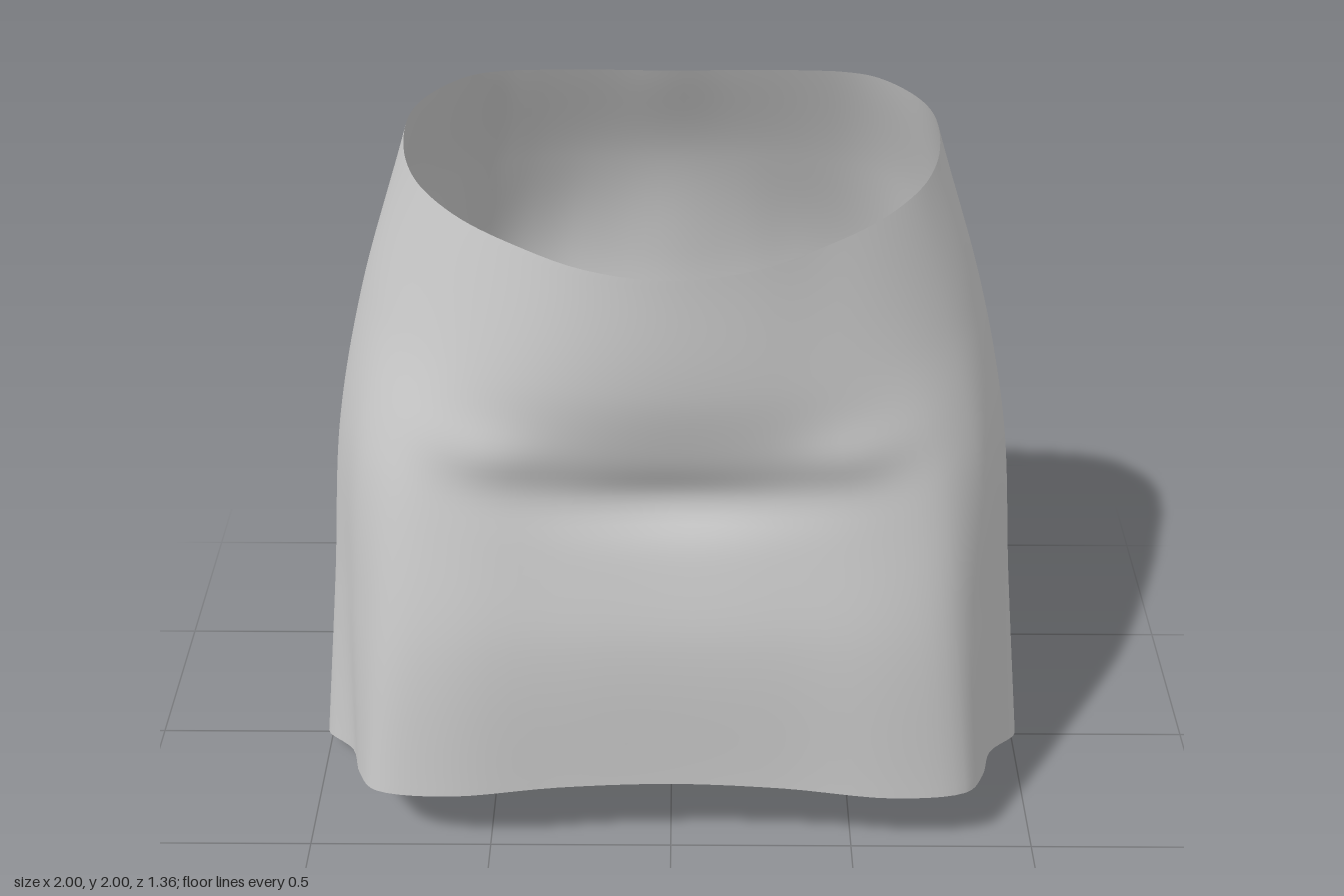
import * as THREE from 'three';

// Half outlines from front centre, round the left side, to back centre: [x, z] pairs.
const rim = [[0, .68], [.2, .645], [.38, .545], [.5, .45], [.59, .34], [.64, .23], [.67, .1], [.67, -.01],
  [.645, -.085], [.59, -.15], [.52, -.2], [.44, -.23], [.35, -.25], [.25, -.265], [.13, -.275], [0, -.27]];
const hip = [[0, .655], [.22, .635], [.42, .57], [.575, .475], [.69, .35], [.76, .22], [.8, .07], [.79, -.05],
  [.755, -.155], [.69, -.235], [.61, -.31], [.51, -.37], [.41, -.405], [.3, -.425], [.17, -.435], [0, -.435]];
const thigh = [[0, .575], [.26, .578], [.5, .565], [.68, .505], [.785, .39], [.845, .25], [.89, .07], [.88, -.06],
  [.84, -.17], [.765, -.25], [.685, -.36], [.59, -.465], [.49, -.523], [.35, -.54], [.2, -.525], [0, -.505]];
const low = [[0, .61], [.29, .61], [.57, .6], [.74, .54], [.83, .405], [.88, .25], [.94, .07], [.925, -.06],
  [.87, -.18], [.77, -.25], [.69, -.42], [.6, -.575], [.51, -.608], [.37, -.575], [.23, -.54], [0, -.52]];
const hem = [[0, .575], [.3, .58], [.6, .59], [.8, .535], [.86, .42], [.9, .26], [1, .07], [.96, -.06],
  [.91, -.19], [.79, -.24], [.68, -.48], [.61, -.66], [.52, -.67], [.38, -.57], [.25, -.525], [0, -.525]];

// Heights of the two open edges along the same outline
const rimY = [1.855, 1.865, 1.885, 1.9, 1.915, 1.92, 1.93, 1.955, 1.97, 1.985, 1.995, 1.995, 1.99, 1.985, 1.98, 1.98];
const hemY = [.28, .27, .245, .22, .185, .14, .06, 0, .1, .16, .31, .43, .44, .45, .45, .46];

const gauss = (d, width) => Math.exp(-((d / width) ** 2));

// Mirrors a half outline into a smooth closed ring; f is the fraction of the way from rim to hem
function ring(half, f) {
  const left = half.map(([x, z], i) => new THREE.Vector3(x, THREE.MathUtils.lerp(rimY[i], hemY[i], f), z));
  const right = left.slice(1, -1).reverse().map((p) => new THREE.Vector3(-p.x, p.y, p.z));
  return new THREE.CatmullRomCurve3([...left, ...right], true);
}

// Creases and asymmetry of the cloth
function drape(p) {
  if (p.z > 0) {
    // crease across the front, curving up at its ends
    p.z -= .035 * gauss(p.y - 1.17 - .2 * p.x * p.x, .09) * gauss(p.x, .38);
    for (const side of [-1, 1]) {
      p.z += .014 * gauss(p.y - 1.31, .08) * gauss(p.x - side * .45, .14); // puckers at its ends
    }
  } else {
    // fuller cloth at the back, right of centre
    p.z -= .08 * gauss(p.x + .27, .16) * (1 - THREE.MathUtils.smoothstep(p.y, .42, .95));
  }
  return p;
}

export function createModel() {
  const group = new THREE.Group();
  const around = 150, down = 64;
  const rings = [ring(rim, 0), ring(hip, .21), ring(thigh, .43), ring(low, .7), ring(hem, 1)];

  // Each column runs from rim to hem through all the rings
  const columns = [];
  for (let c = 0; c < around; c++) {
    columns.push(new THREE.CatmullRomCurve3(rings.map((r) => r.getPoint(c / around))));
  }

  const positions = [], indices = [];
  for (let r = 0; r <= down; r++) {
    for (let c = 0; c < around; c++) {
      positions.push(...drape(columns[c].getPoint(r / down)).toArray());
      if (r === down) continue;
      const next = (c + 1) % around;
      const a = r * around + c, b = r * around + next;
      indices.push(a, a + around, b, b, a + around, b + around);
    }
  }
  const geometry = new THREE.BufferGeometry();
  geometry.setAttribute('position', new THREE.Float32BufferAttribute(positions, 3));
  geometry.setIndex(indices);
  geometry.computeVertexNormals();

  const skirt = new THREE.Mesh(geometry, new THREE.MeshStandardMaterial({ color: 0xcccccc, side: THREE.DoubleSide }));
  skirt.name = 'skirt';
  group.add(skirt);
  return group;
}
